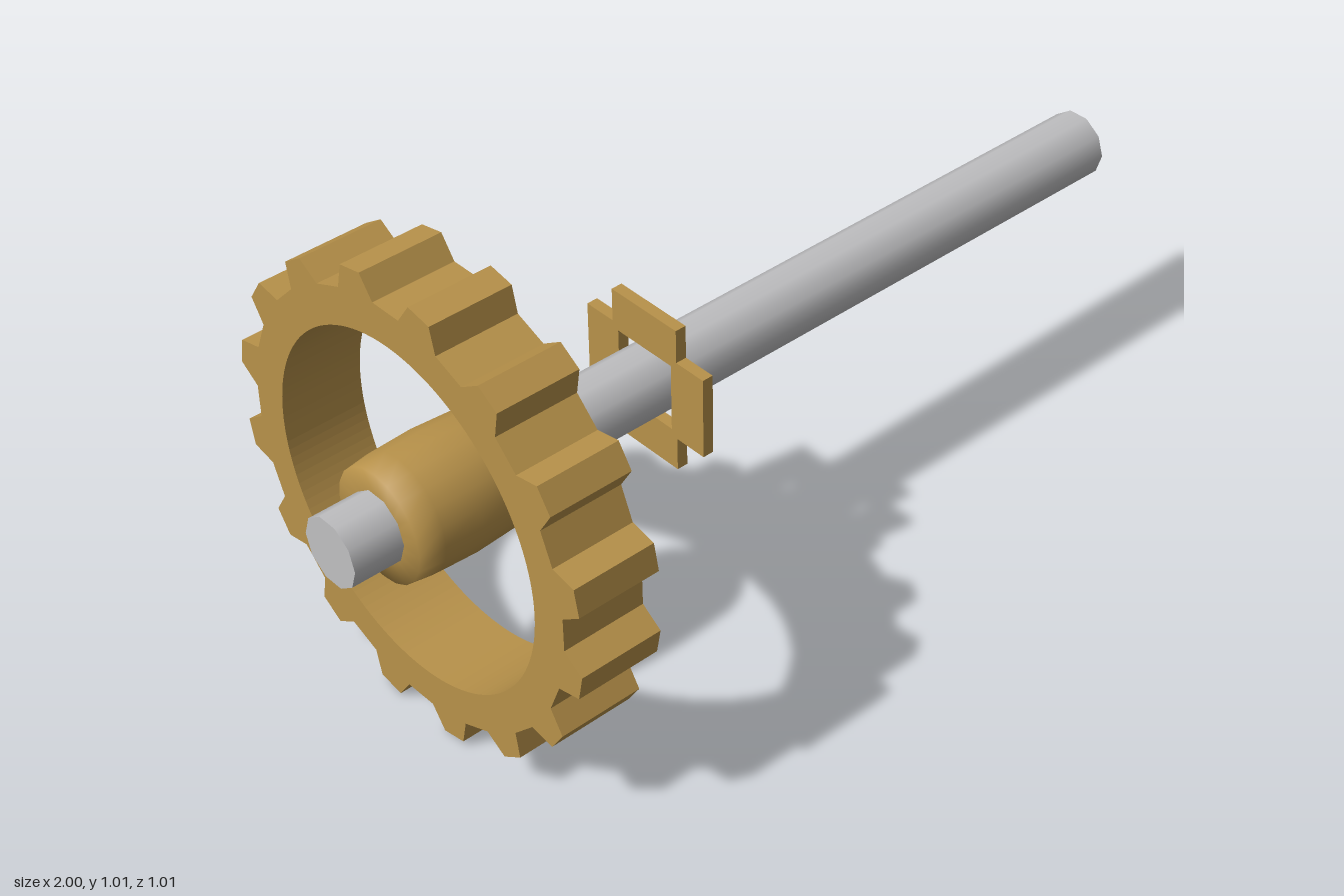
import * as THREE from 'three';

const AXIS_Y = 0.503;

// Extrude a flat outline (drawn as seen from +x) along the shaft axis.
function plateAlongX(shape, x0, x1, material, name) {
  const geo = new THREE.ExtrudeGeometry(shape, { depth: x1 - x0, bevelEnabled: false, curveSegments: 64 });
  geo.rotateY(Math.PI / 2);
  geo.translate(x0, 0, 0);
  const mesh = new THREE.Mesh(geo, material);
  mesh.name = name;
  return mesh;
}

// Toothed ring outline with a round bore.
function gearShape(teeth, rootR, tipR, boreR) {
  const rad = THREE.MathUtils.degToRad;
  const points = [];
  for (let i = 0; i < teeth; i++) {
    const centre = 90 + 360 / teeth * (i + 0.5) - 0.45;
    for (const [offset, r] of [[-6.6, rootR], [-3.3, tipR], [3.3, tipR], [6.6, rootR]]) {
      const a = rad(centre + offset);
      points.push(new THREE.Vector2(r * Math.cos(a), r * Math.sin(a)));
    }
  }
  const shape = new THREE.Shape(points);
  shape.holes.push(new THREE.Path().absarc(0, 0, boreR, 0, Math.PI * 2, true));
  return shape;
}

// Cross outline with a square opening.
function crossShape(reach, half, hole) {
  const points = [];
  for (let i = 0; i < 4; i++) {
    for (const [x, y] of [[reach, -half], [reach, half], [half, half]]) {
      points.push(new THREE.Vector2(x, y).rotateAround(new THREE.Vector2(), i * Math.PI / 2));
    }
  }
  const shape = new THREE.Shape(points);
  shape.holes.push(new THREE.Path([[-hole, -hole], [-hole, hole], [hole, hole], [hole, -hole]]
    .map(([x, y]) => new THREE.Vector2(x, y))));
  return shape;
}

export function createModel() {
  const brass = new THREE.MeshStandardMaterial({ color: 0xb8924a });
  brass.name = 'brass';
  const steel = new THREE.MeshStandardMaterial({ color: 0xc0c0c2 });
  steel.name = 'steel';

  const model = new THREE.Group();
  model.name = 'gearShaft';
  model.position.y = AXIS_Y;

  // Ten-sided shaft
  const shaftGeo = new THREE.CylinderGeometry(0.075, 0.075, 2, 10);
  shaftGeo.rotateZ(-Math.PI / 2);
  const shaft = new THREE.Mesh(shaftGeo, steel);
  shaft.name = 'shaft';

  // Barrel hub, tapering towards the long end of the shaft
  const profile = [
    [0.06, -0.89], [0.121, -0.89], [0.128, -0.835], [0.131, -0.75],
    [0.126, -0.66], [0.118, -0.625], [0.102, -0.595], [0.06, -0.593],
  ].map(([r, x]) => new THREE.Vector2(r, x));
  const hubGeo = new THREE.LatheGeometry(profile, 20);
  hubGeo.rotateZ(-Math.PI / 2);
  const hub = new THREE.Mesh(hubGeo, brass);
  hub.name = 'hub';

  // Toothed ring and cross-shaped retaining plate
  const ring = plateAlongX(gearShape(16, 0.458, 0.508, 0.377), -0.833, -0.65, brass, 'gearRing');
  const cross = plateAlongX(crossShape(0.169, 0.093, 0.077), -0.245, -0.22, brass, 'crossPlate');

  model.add(shaft, hub, ring, cross);
  const root = new THREE.Group();
  root.name = 'model';
  root.add(model);
  return root;
}
